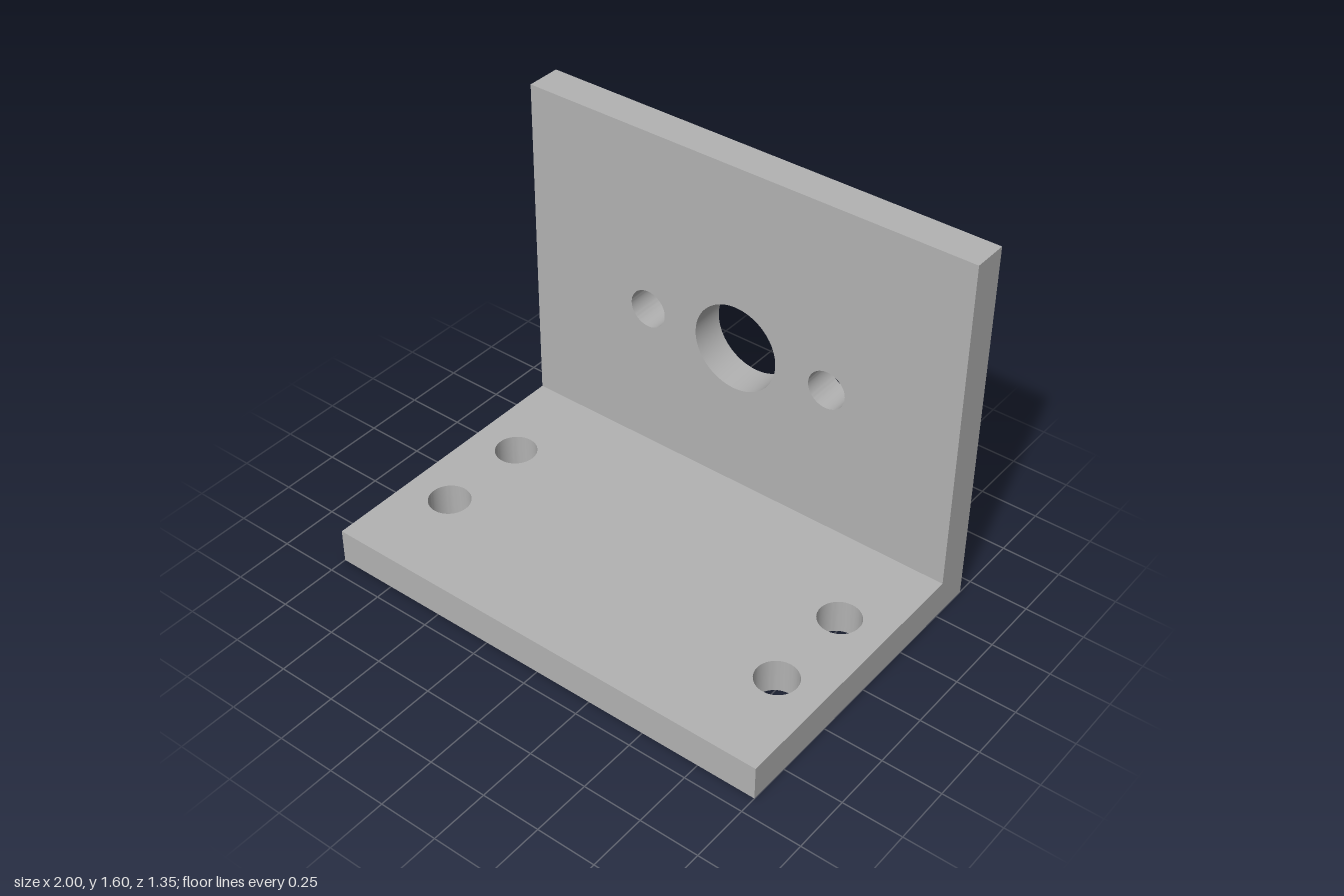
import * as THREE from 'three';
import { toCreasedNormals } from 'three/addons/utils/BufferGeometryUtils.js';

const WIDTH = 2, HEIGHT = 1.6, DEPTH = 1.35, THICK = 0.15;

// Rectangular plate in XY, extruded along +z, with round holes [x, y, radius]
function drilledPlate(y0, y1, holes) {
  const w = WIDTH / 2;
  const shape = new THREE.Shape([
    new THREE.Vector2(-w, y0), new THREE.Vector2(w, y0),
    new THREE.Vector2(w, y1), new THREE.Vector2(-w, y1),
  ]);
  for (const [x, y, r] of holes) {
    shape.holes.push(new THREE.Path().absarc(x, y, r, 0, Math.PI * 2, true));
  }
  const geometry = new THREE.ExtrudeGeometry(shape, { depth: THICK, bevelEnabled: false, curveSegments: 32 });
  return toCreasedNormals(geometry, 0.6);
}

export function createModel() {
  const group = new THREE.Group();
  group.name = 'angleBracket';
  const grey = new THREE.MeshStandardMaterial({ color: 0xb2b2b2 });
  grey.name = 'grey metal';

  // Upright plate with a central bore and a screw hole on each side
  const upright = new THREE.Mesh(
    drilledPlate(0, HEIGHT, [[0, 0.8, 0.19], [-0.425, 0.8, 0.083], [0.425, 0.8, 0.083]]), grey);
  upright.name = 'uprightPlate';
  upright.position.z = -DEPTH / 2;

  // Base plate with four mounting holes; shape y becomes -z once laid flat
  const mounts = [];
  for (const x of [-0.8, 0.8]) for (const z of [-0.128, 0.272]) mounts.push([x, -z, 0.087]);
  const base = new THREE.Mesh(
    drilledPlate(-DEPTH / 2, DEPTH / 2 - THICK, mounts).rotateX(-Math.PI / 2), grey);
  base.name = 'basePlate';

  group.add(upright, base);
  return group;
}
